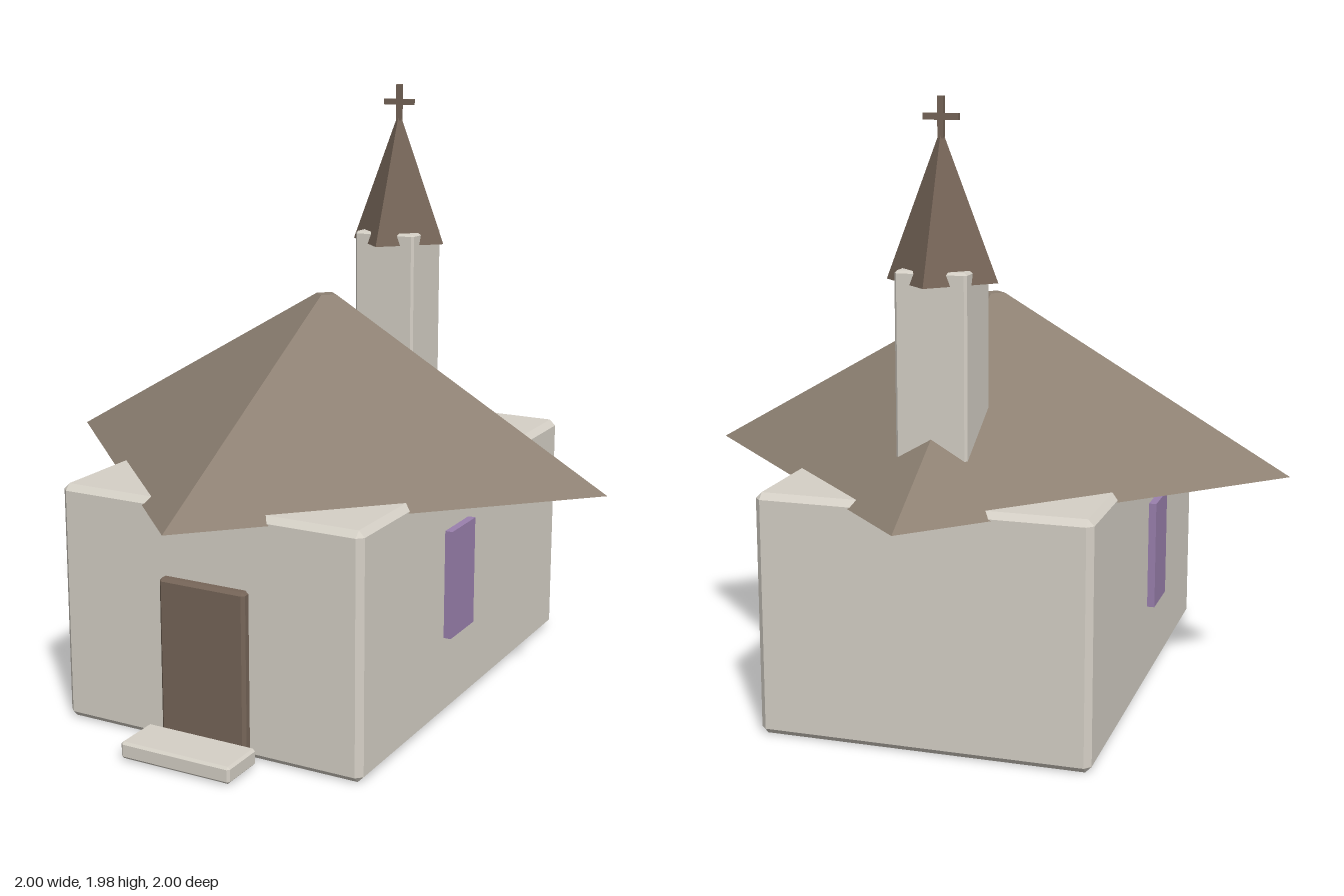
import * as THREE from 'three';
import { ConvexGeometry } from 'three/addons/geometries/ConvexGeometry.js';

const material = (color) => new THREE.MeshStandardMaterial({ color, flatShading: true });

// Box given by its limits, with every edge cut back by c
function chamferedBox([x0, x1], [y0, y1], [z0, z1], c) {
  const half = [(x1 - x0) / 2, (y1 - y0) / 2, (z1 - z0) / 2];
  const points = [];
  for (const sx of [-1, 1]) for (const sy of [-1, 1]) for (const sz of [-1, 1]) {
    for (let axis = 0; axis < 3; axis++) {
      const d = half.map((h, i) => (i === axis ? h : h - c));
      points.push(new THREE.Vector3(sx * d[0], sy * d[1], sz * d[2]));
    }
  }
  return new ConvexGeometry(points).translate((x0 + x1) / 2, (y0 + y1) / 2, (z0 + z1) / 2);
}

// Four-sided pyramid with its corners on the axes
function pyramid(topRadius, radius, y0, y1, z) {
  return new THREE.CylinderGeometry(topRadius, radius, y1 - y0, 4).translate(0, (y0 + y1) / 2, z);
}

export function createModel() {
  const group = new THREE.Group();
  const plaster = material(0xd5d0c6);
  const shingle = material(0x8d8072);
  const wood = material(0x766558);
  const glass = material(0x9a80ad);
  const towerZ = -0.537;

  const add = (name, geometry, mat, parent = group) => {
    const mesh = new THREE.Mesh(geometry, mat);
    mesh.name = name;
    parent.add(mesh);
    return mesh;
  };

  // Main building
  add('walls', chamferedBox([-0.535, 0.535], [0, 0.785], [-0.773, 0.773], 0.02), plaster);
  add('roof', pyramid(0.037, 1, 0.76, 1.32, 0), shingle);

  // Entrance
  add('door', chamferedBox([-0.153, 0.153], [0.012, 0.545], [0.762, 0.802], 0.01), wood);
  add('doorStep', chamferedBox([-0.195, 0.195], [0.005, 0.06], [0.805, 0.965], 0.008), plaster);

  // One window in each side wall
  for (const side of [-1, 1]) {
    const pane = new THREE.BoxGeometry(0.05, 0.36, 0.18).translate(side * 0.535, 0.45, 0.105);
    add(side > 0 ? 'leftWindow' : 'rightWindow', pane, glass);
  }

  // Bell tower and spire
  add('tower', chamferedBox([-0.114, 0.114], [0.8, 1.472], [towerZ - 0.114, towerZ + 0.114], 0.008), plaster);
  add('spire', pyramid(0, 0.178, 1.43, 1.89, towerZ), wood);

  // Cross
  const cross = new THREE.Group();
  cross.name = 'cross';
  cross.position.z = towerZ;
  group.add(cross);
  add('crossPost', new THREE.BoxGeometry(0.018, 0.125, 0.018).translate(0, 1.92, 0), wood, cross);
  add('crossArm', new THREE.BoxGeometry(0.112, 0.02, 0.016).translate(0, 1.922, 0), wood, cross);

  return group;
}
